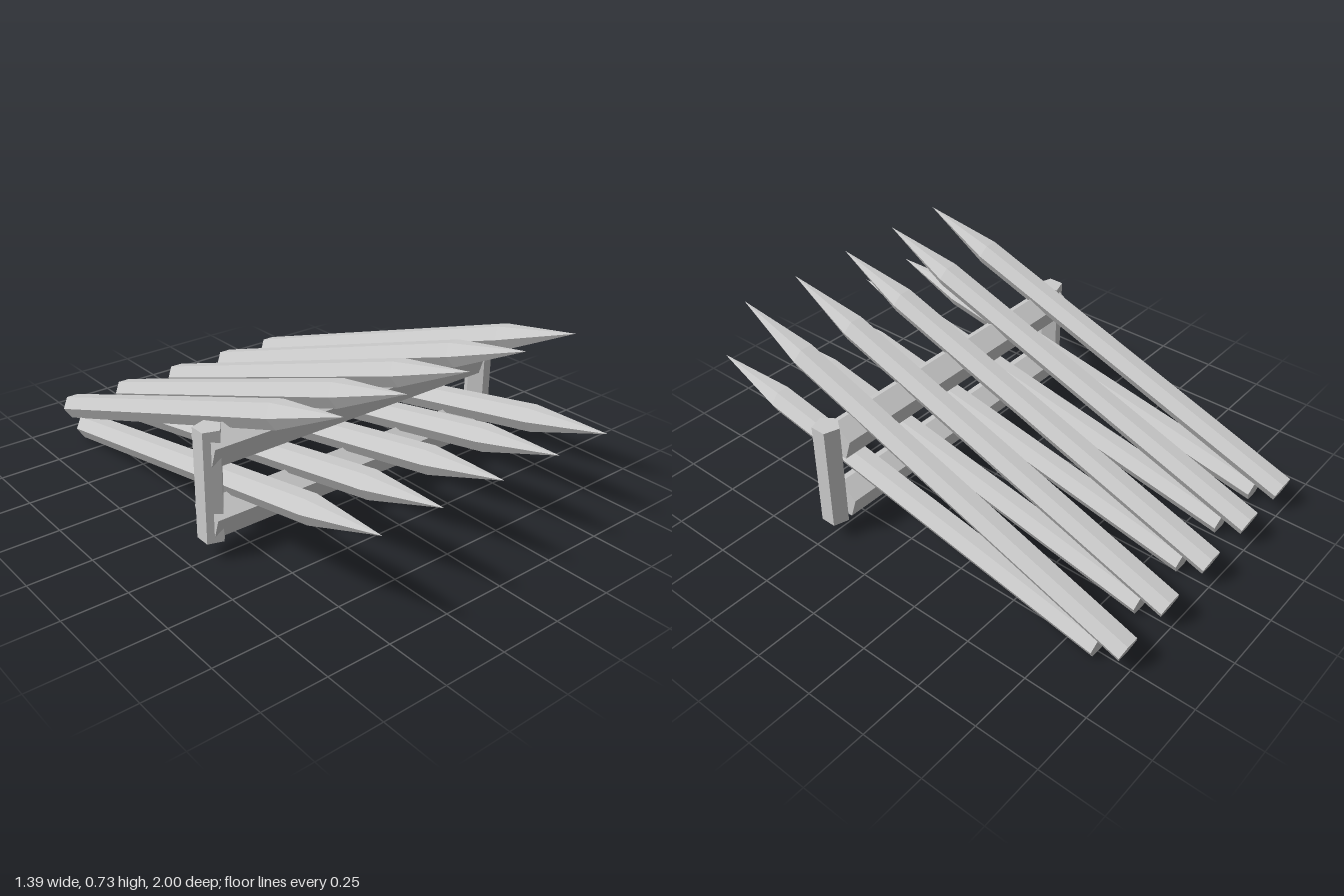
import * as THREE from 'three';

const material = new THREE.MeshStandardMaterial({ color: 0xcccccc, flatShading: true });

function addMesh(parent, geometry, name, x, y, z) {
  const mesh = new THREE.Mesh(geometry, material);
  mesh.name = name;
  mesh.position.set(x, y, z);
  parent.add(mesh);
  return mesh;
}

export function createModel() {
  const model = new THREE.Group();
  model.name = 'spikeBarricade';

  // Six-sided stake with a sharpened tip, its butt at the origin
  const stakeProfile = [[0, 0], [0.053, 0], [0.053, 1.575], [0, 1.914]]
    .map(([r, y]) => new THREE.Vector2(r, y));
  const stake = new THREE.LatheGeometry(stakeProfile, 6).rotateY(Math.PI / 2);

  // Two rows of stakes, leaning forward at different pitches
  const rows = [
    { name: 'upperStake', y: 0.097, z: -0.985, tip: [0.735, 0.82] },
    { name: 'lowerStake', y: 0.045, z: -0.876, tip: [0.415, 1.0] },
  ];
  for (const row of rows) {
    const lean = Math.atan2(row.tip[1] - row.z, row.tip[0] - row.y);
    for (const x of [-0.546, -0.292, -0.019, 0.252, 0.506]) {
      addMesh(model, stake, row.name, x, row.y, row.z).rotation.x = lean;
    }
  }

  // Five-sided cross rails with a ridge on top
  const rail = new THREE.CylinderGeometry(0.077, 0.077, 1.29, 5)
    .rotateZ(Math.PI / 2)
    .rotateX(-Math.PI / 2);
  addMesh(model, rail, 'upperRail', -0.023, 0.429, 0.233);
  addMesh(model, rail, 'lowerRail', -0.023, 0.154, 0.233);

  // Five-sided end posts, flat face outwards
  for (const side of [-1, 1]) {
    const post = new THREE.CylinderGeometry(0.053, 0.053, 0.432, 5).rotateY(-side * Math.PI / 2);
    addMesh(model, post, side > 0 ? 'leftPost' : 'rightPost', side * 0.652, 0.294, 0.241);
  }

  return model;
}
